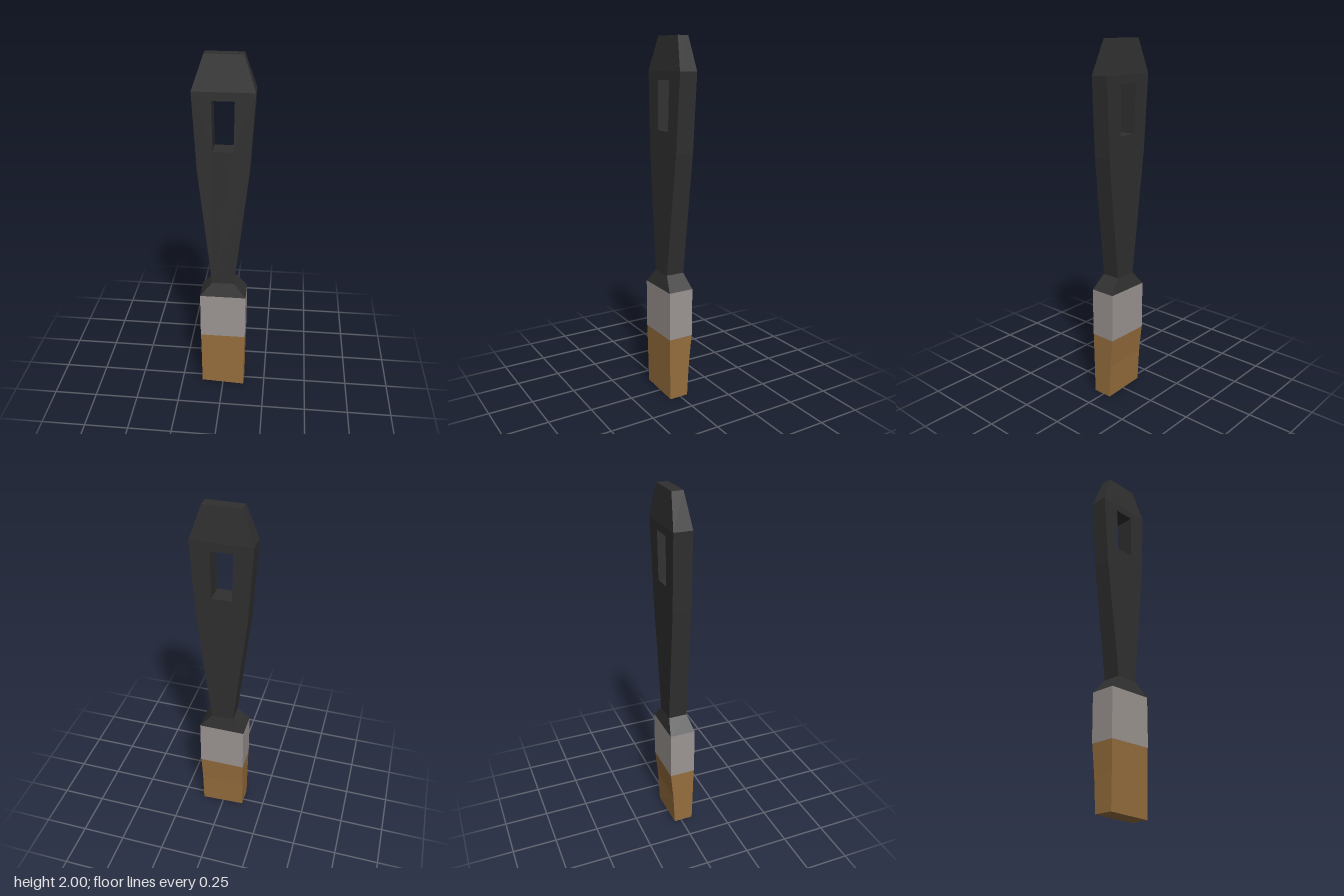
import * as THREE from 'three';

const material = (color) => new THREE.MeshStandardMaterial({ color, flatShading: true, side: THREE.DoubleSide });

// Loft through rectangular sections [y, halfWidth, zBack, zFront, tilt], capped at both ends.
function loft(name, sections, mat) {
  const rings = sections.map(([y, w, back, front, tilt = 0]) => [
    [-w, y + tilt, front], [w, y, front], [w, y, back], [-w, y + tilt, back],
  ]);
  const pos = [];
  const quad = (a, b, c, d) => pos.push(...a, ...b, ...c, ...a, ...c, ...d);
  for (let i = 0; i < rings.length - 1; i++) {
    const lo = rings[i], hi = rings[i + 1];
    for (let j = 0; j < 4; j++) {
      const k = (j + 1) % 4;
      quad(lo[j], lo[k], hi[k], hi[j]);
    }
  }
  const bottom = rings[0], top = rings[rings.length - 1];
  quad(bottom[3], bottom[2], bottom[1], bottom[0]);
  quad(top[0], top[1], top[2], top[3]);
  const geometry = new THREE.BufferGeometry();
  geometry.setAttribute('position', new THREE.Float32BufferAttribute(pos, 3));
  geometry.computeVertexNormals();
  const mesh = new THREE.Mesh(geometry, mat);
  mesh.name = name;
  return mesh;
}

// Tapering grip with a hanging hole; it leans slightly backwards towards the top.
function grip(mat) {
  const points = (list) => list.map(([x, y]) => new THREE.Vector2(x, y));
  const shape = new THREE.Shape(points([
    [-0.062, 0.72], [0.062, 0.72], [0.138, 1.4], [0.162, 1.82], [-0.162, 1.82], [-0.138, 1.4],
  ]));
  shape.holes.push(new THREE.Path(points([
    [-0.055, 1.51], [-0.06, 1.775], [0.057, 1.775], [0.053, 1.51],
  ])));
  const geometry = new THREE.ExtrudeGeometry(shape, { depth: 1, bevelEnabled: false });
  const p = geometry.attributes.position;
  for (let i = 0; i < p.count; i++) {
    const t = (p.getY(i) - 0.72) / 1.1;
    const back = THREE.MathUtils.lerp(-0.055, -0.07, t);
    const front = THREE.MathUtils.lerp(0.051, 0.033, t);
    p.setZ(i, THREE.MathUtils.lerp(back, front, p.getZ(i)));
  }
  geometry.computeVertexNormals();
  const mesh = new THREE.Mesh(geometry, mat);
  mesh.name = 'grip';
  return mesh;
}

export function createModel() {
  const model = new THREE.Group();
  model.name = 'paintbrush';

  // Handle: flared neck, grip and chamfered tip
  const black = material(0x303030);
  const handle = new THREE.Group();
  handle.name = 'handle';
  handle.add(
    loft('neck', [[0.64, 0.13, -0.073, 0.073], [0.72, 0.062, -0.055, 0.051]], black),
    grip(black),
    loft('tip', [[1.82, 0.162, -0.07, 0.033], [2, 0.099, -0.054, 0.008]], black),
  );

  // Metal band holding the bristles
  const ferrule = loft('ferrule', [[0.365, 0.13, -0.073, 0.073], [0.64, 0.13, -0.073, 0.073]], material(0x9c9592));

  // Bristles, thinning towards a slightly slanted end
  const bristles = loft('bristles', [
    [0, 0.126, -0.046, 0.065, 0.012],
    [0.2, 0.127, -0.056, 0.069],
    [0.365, 0.129, -0.072, 0.072],
  ], material(0x976f3e));

  model.add(handle, ferrule, bristles);
  return model;
}
